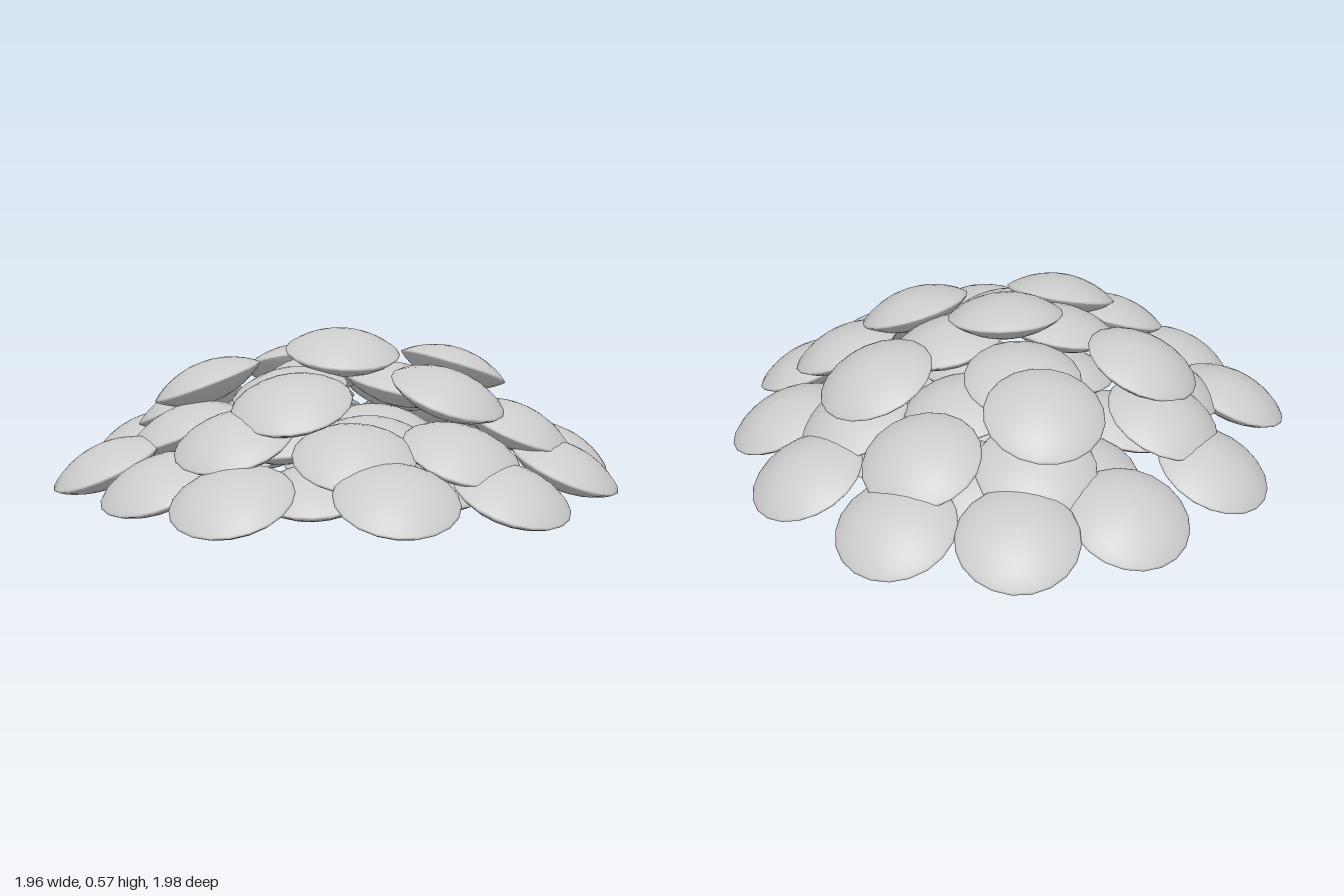
import * as THREE from 'three';

const RADIUS = 0.2, HALF = 0.073;

// Lens profile: two shallow domes meeting at a thin rim, finer towards the rim
function lensGeometry() {
  const points = [];
  const steps = 7;
  for (let i = -steps; i <= steps; i++) {
    const u = (Math.abs(i) / steps) * Math.PI / 2;
    const t = Math.cos(u); // 0 at the poles, 1 at the rim
    const height = HALF * Math.pow(Math.sin(u), 1.75);
    points.push(new THREE.Vector2(i * i === steps * steps ? 0 : RADIUS * t, Math.sign(i) * height));
  }
  return new THREE.LatheGeometry(points, 20);
}

// Each layer: outward tilt in degrees and disc centres [x, y, z]
const layers = {
  outerDisc: [23, [
    [0.755, 0.135, -0.281], [0.793, 0.14, 0.1], [0.66, 0.145, 0.46], [0.358, 0.125, 0.715],
    [-0.06, 0.155, 0.803], [-0.53, 0.14, 0.603], [-0.697, 0.14, 0.29], [-0.803, 0.135, -0.075],
    [-0.572, 0.145, -0.545], [-0.22, 0.145, -0.767], [0.155, 0.15, -0.813], [0.515, 0.145, -0.662],
  ]],
  middleDisc: [22, [
    [0.40, 0.27, -0.48], [0.572, 0.23, -0.115], [0.533, 0.27, 0.335], [0.243, 0.235, 0.575],
    [-0.12, 0.245, 0.567], [-0.463, 0.28, 0.365], [-0.53, 0.24, -0.125], [-0.44, 0.27, -0.39],
    [0.04, 0.24, -0.57],
  ]],
  middleInnerDisc: [10, [
    [0.195, 0.22, -0.09], [0.08, 0.22, 0.195], [-0.195, 0.22, 0.09], [-0.08, 0.22, -0.195],
  ]],
  upperDisc: [21, [
    [-0.005, 0.39, -0.485], [0.495, 0.405, -0.158], [0.28, 0.395, 0.346],
    [-0.267, 0.39, 0.36], [-0.415, 0.385, -0.212],
  ]],
  upperInnerDisc: [12, [
    [0.01, 0.39, -0.237], [-0.2, 0.39, 0.1], [0.205, 0.39, 0.08],
  ]],
  lowerDisc: [13, [
    [0.44, 0.088, -0.06], [0.2, 0.088, -0.37], [-0.16, 0.088, -0.39],
    [-0.395, 0.088, -0.09], [-0.185, 0.088, 0.34], [0.19, 0.088, 0.35],
  ]],
  lowerCentreDisc: [0, [[0.02, 0.09, -0.02]]],
};

export function createModel() {
  const model = new THREE.Group();
  model.name = 'discMound';
  const grey = new THREE.MeshStandardMaterial({ color: 0xcccccc });
  grey.name = 'lightGrey';
  const lens = lensGeometry();
  const up = new THREE.Vector3(0, 1, 0);

  function addDisc(name, [x, y, z], heading, tilt) {
    const disc = new THREE.Mesh(lens, grey);
    disc.name = name;
    disc.position.set(x, y, z);
    const a = THREE.MathUtils.degToRad(tilt);
    const normal = new THREE.Vector3(
      Math.sin(a) * Math.cos(heading), Math.cos(a), Math.sin(a) * Math.sin(heading));
    disc.quaternion.setFromUnitVectors(up, normal);
    model.add(disc);
  }

  // Discs lean away from the centre of the mound
  for (const [name, [tilt, centres]] of Object.entries(layers)) {
    centres.forEach((c, i) => addDisc(name + (i + 1), c, Math.atan2(c[2], c[0]), tilt));
  }

  // Crowning disc leans slightly forward
  addDisc('topDisc', [0.015, 0.505, 0.015], Math.PI / 2, 11);
  return model;
}
